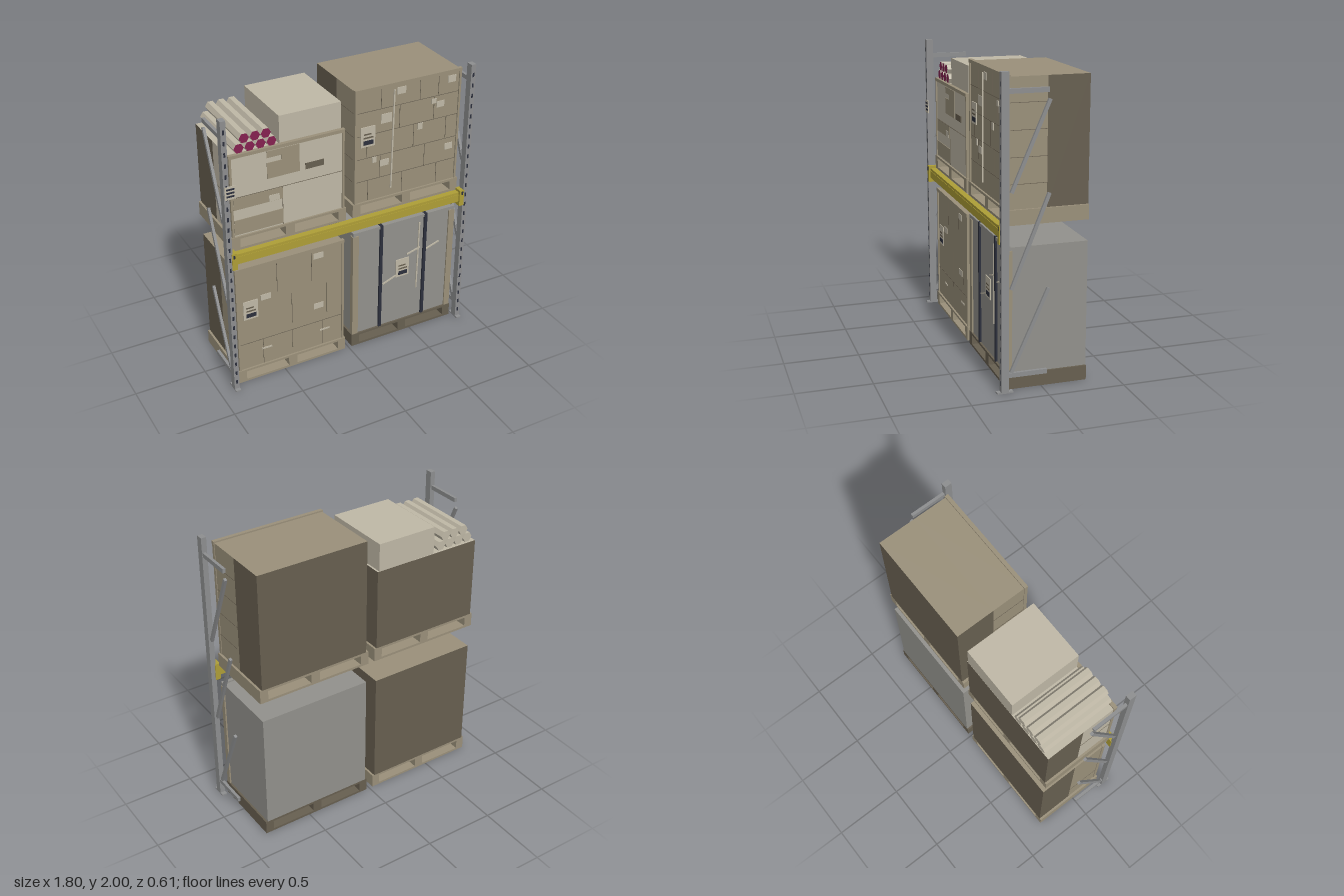
import * as THREE from 'three';

const mat = (name, color) => Object.assign(new THREE.MeshStandardMaterial({ color }), { name });

export function createModel() {
  const tan = mat('cardboard tan', 0x9a907a), dark = mat('dark brown', 0x675f50);
  const wrap = mat('wrap grey', 0x92918c), steel = mat('steel grey', 0x8d8e8f);
  const light = mat('pale card', 0xbfb8a6), yellow = mat('beam yellow', 0xae9e36);
  const maroon = mat('maroon', 0x852150), navy = mat('navy', 0x2c2f3c);
  const root = new THREE.Group();
  const BACK = -0.305, SPLIT = -0.035, FRONT = 0.215;

  // box given by its limits on each axis
  function box(parent, name, m, x0, x1, y0, y1, z0, z1) {
    const mesh = new THREE.Mesh(new THREE.BoxGeometry(x1 - x0, y1 - y0, z1 - z0), m);
    mesh.position.set((x0 + x1) / 2, (y0 + y1) / 2, (z0 + z1) / 2);
    mesh.name = name;
    parent.add(mesh);
    return mesh;
  }
  // thin plate on the front of a load
  const plate = (p, name, m, x0, x1, y0, y1, lift = 0.004) =>
    box(p, name, m, x0, x1, y0, y1, FRONT, FRONT + lift);
  // slanted strip of tape between two points on the front
  function tape(p, xa, ya, xb, yb) {
    const len = Math.hypot(xb - xa, yb - ya);
    const s = plate(p, 'tapeStrip', light, -len / 2, len / 2, -0.005, 0.005, 0.007);
    s.position.x = (xa + xb) / 2;
    s.position.y = (ya + yb) / 2;
    s.rotation.z = Math.atan2(yb - ya, xb - xa);
  }
  function group(name) {
    const g = new THREE.Group();
    g.name = name;
    root.add(g);
    return g;
  }
  // shipping label: pale sheet, printed bars
  function label(p, x, y) {
    plate(p, 'labelSheet', light, x, x + 0.105, y, y + 0.142, 0.006);
    plate(p, 'labelBlock', navy, x + 0.02, x + 0.09, y + 0.015, y + 0.045, 0.008);
    plate(p, 'labelLine', dark, x + 0.02, x + 0.09, y + 0.06, y + 0.07, 0.008);
    plate(p, 'labelLine', dark, x + 0.02, x + 0.075, y + 0.085, y + 0.095, 0.008);
  }

  // pallet with two fork openings right through
  function pallet(name, x, y, m) {
    const s = new THREE.Shape([[0, 0], [0.818, 0], [0.818, 0.096], [0, 0.096]].map(p => new THREE.Vector2(...p)));
    for (const a of [0.06, 0.442]) {
      s.holes.push(new THREE.Path([[a, 0.016], [a, 0.08], [a + 0.318, 0.08], [a + 0.318, 0.016]]
        .map(p => new THREE.Vector2(...p))));
    }
    const g = new THREE.ExtrudeGeometry(s, { depth: 0.228 - BACK, bevelEnabled: false });
    const mesh = new THREE.Mesh(g, m);
    mesh.position.set(x, y, BACK);
    mesh.name = name;
    root.add(mesh);
  }

  // stacked load: detailed front half, plain rear half, seams, corner trims, lip
  function load(name, x0, x1, y0, y1, face, rear, rows, joints, edge) {
    const g = group(name);
    box(g, 'frontCartons', face, x0, x1, y0, y1 - 0.01, SPLIT, FRONT);
    box(g, 'rearCartons', [rear, rear, face, rear, rear, rear], x0, x1, y0, y1 - 0.01, BACK, SPLIT);
    for (const y of rows) box(g, 'rowSeam', dark, x0 - 0.002, x1 + 0.002, y - 0.0015, y + 0.0015, SPLIT, FRONT + 0.002);
    for (const [x, ya, yb] of joints) plate(g, 'joint', dark, x - 0.0015, x + 0.0015, ya, yb, 0.002);
    for (const x of [x0 - 0.004, x1 - 0.011]) box(g, 'cornerTrim', edge, x, x + 0.015, y0, y1 - 0.02, 0.2, 0.224);
    box(g, 'topLip', edge, x0 - 0.006, x1 + 0.006, y1 - 0.022, y1, 0.2, 0.226);
    return g;
  }

  pallet('lowerLeftPallet', -0.845, 0, tan);
  pallet('lowerRightPallet', 0.025, 0, dark);
  pallet('upperLeftPallet', -0.845, 1.059, tan);
  pallet('upperRightPallet', 0.023, 1.059, tan);

  // lower carton stack
  const a = load('lowerCartonStack', -0.83, -0.042, 0.096, 0.907, tan, dark, [0.3], [
    [-0.535, 0.65, 0.87], [-0.28, 0.65, 0.87], [-0.43, 0.36, 0.6], [-0.165, 0.36, 0.6],
    [-0.65, 0.1, 0.3], [-0.43, 0.15, 0.3], [-0.2, 0.1, 0.3]], tan);
  for (const [x, y, h] of [[-0.265, 0.815, 0.043], [-0.657, 0.615, 0.043], [-0.265, 0.412, 0.043],
    [-0.66, 0.215, 0.012], [-0.22, 0.215, 0.012]]) plate(a, 'patch', light, x, x + 0.073, y, y + h);
  label(a, -0.785, 0.497);

  // grey wrapped load with straps
  const b = load('wrappedLoad', 0.038, 0.83, 0.096, 0.93, wrap, wrap, [], [], wrap);
  for (const x of [0.03, 0.795]) box(b, 'cornerBoard', tan, x, x + 0.045, 0.096, 0.9, 0.19, 0.225);
  for (const x of [0.241, 0.593]) {
    plate(b, 'strapFront', navy, x, x + 0.022, 0.096, 0.93, 0.013);
    box(b, 'strapTop', navy, x, x + 0.022, 0.92, 0.932, 0.19, 0.228);
  }
  label(b, 0.378, 0.468);
  tape(b, 0.55, 0.33, 0.558, 0.87);
  tape(b, 0.275, 0.445, 0.38, 0.485);
  tape(b, 0.465, 0.635, 0.57, 0.665);
  tape(b, 0.62, 0.635, 0.725, 0.67);

  // upper pale carton stack
  const c = load('paleCartonStack', -0.83, -0.042, 1.155, 1.73, light, dark, [1.43], [[-0.477, 1.155, 1.43]], tan);
  plate(c, 'tanPanel', tan, -0.815, -0.477, 1.345, 1.428);
  plate(c, 'tanPanel', tan, -0.815, -0.477, 1.165, 1.27);
  plate(c, 'tanPanel', tan, -0.58, -0.355, 1.655, 1.7);
  plate(c, 'tanPanel', tan, -0.58, -0.355, 1.51, 1.62);
  plate(c, 'tanPanel', tan, -0.48, -0.355, 1.62, 1.655);
  plate(c, 'darkPatch', dark, -0.315, -0.185, 1.51, 1.552);
  plate(c, 'patch', light, -0.573, -0.5, 1.347, 1.39, 0.006);
  box(c, 'looseCarton', light, -0.483, -0.053, 1.722, 1.912, BACK, 0.2);

  // hexagonal tubes with coloured front caps
  const tubes = group('tubes');
  const tubeGeo = new THREE.CylinderGeometry(0.035, 0.035, 0.515, 6).toNonIndexed();
  tubeGeo.rotateY(Math.PI / 6).rotateX(Math.PI / 2).rotateZ(Math.PI / 3);
  tubeGeo.rotateZ(Math.PI / 6 - Math.PI / 3 + Math.PI / 6);
  tubeGeo.computeVertexNormals();
  const capGeo = new THREE.CircleGeometry(0.034, 6);
  for (const [n, x0, y] of [[4, -0.76, 1.762], [3, -0.723, 1.824]]) {
    for (let i = 0; i < n; i++) {
      const t = new THREE.Mesh(tubeGeo, light), cap = new THREE.Mesh(capGeo, maroon);
      t.name = 'tube';
      cap.name = 'tubeCap';
      t.position.set(x0 + i * 0.073, y, -0.0475);
      cap.position.set(x0 + i * 0.073, y, 0.212);
      tubes.add(t, cap);
    }
  }

  // tall upper carton stack
  const d = load('tallCartonStack', 0.041, 0.826, 1.155, 1.97, tan, dark, [1.31, 1.475, 1.64, 1.805], [
    [0.23, 1.81, 1.95], [0.52, 1.81, 1.95], [0.66, 1.81, 1.95], [0.37, 1.64, 1.8], [0.63, 1.64, 1.8],
    [0.13, 1.48, 1.58], [0.48, 1.48, 1.64], [0.73, 1.48, 1.64], [0.23, 1.31, 1.47], [0.57, 1.31, 1.47],
    [0.14, 1.16, 1.31], [0.4, 1.16, 1.31], [0.67, 1.16, 1.31]], tan);
  for (const [x, y, w, h] of [[0.345, 1.88, 0.065, 0.048], [0.73, 1.88, 0.06, 0.048], [0.65, 1.72, 0.058, 0.043],
    [0.61, 1.755, 0.037, 0.035], [0.23, 1.7, 0.08, 0.065], [0.51, 1.592, 0.037, 0.046], [0.17, 1.43, 0.032, 0.043],
    [0.23, 1.39, 0.065, 0.046], [0.73, 1.39, 0.06, 0.046]]) plate(d, 'patch', light, x, x + w, y, y + h);
  label(d, 0.082, 1.56);
  tape(d, 0.315, 1.21, 0.325, 1.92);

  // rack uprights with slots, feet and side bracing
  for (const s of [-1, 1]) {
    const u = group(s < 0 ? 'rightUpright' : 'leftUpright');
    const X = s * 0.882;
    box(u, 'post', steel, X - 0.018, X + 0.018, 0, 2, 0.23, 0.28);
    box(u, 'footPlate', steel, X - 0.018, X + 0.018, 0, 0.01, 0.2, 0.305);
    for (let y = 0.05; y < 1.98; y += 0.0745) box(u, 'slot', navy, X - 0.006, X + 0.006, y, y + 0.03, 0.279, 0.281);
    for (const y of [0.115, 1.885]) box(u, 'horizontalBrace', steel, s * 0.886 - 0.01, s * 0.886 + 0.01, y - 0.015, y + 0.015, -0.02, 0.24);
    for (const [ya, yb] of [[0.13, 0.66], [0.67, 1.26], [1.275, 1.83]]) {
      const len = Math.hypot(yb - ya, 0.24);
      const br = box(u, 'diagonalBrace', steel, s * 0.886 - 0.009, s * 0.886 + 0.009, -len / 2, len / 2, -0.011, 0.011);
      br.position.y = (ya + yb) / 2;
      br.position.z = 0.092;
      br.rotation.x = -Math.atan2(0.24, yb - ya);
    }
  }

  // front beam with rolled edges and end connectors
  const beam = group('beam');
  box(beam, 'beamBody', yellow, -0.865, 0.865, 0.985, 1.058, 0.228, 0.27);
  box(beam, 'beamRib', yellow, -0.845, 0.845, 0.99, 1.04, 0.27, 0.273);
  for (const s of [-1, 1]) {
    box(beam, 'connector', yellow, s * 0.852 - 0.018, s * 0.852 + 0.018, 0.955, 1.075, 0.225, 0.284);
    box(beam, 'connectorPin', navy, s * 0.855 - 0.006, s * 0.855 + 0.006, 1.04, 1.065, 0.284, 0.286);
  }

  // location sign on the post
  const sign = group('locationSign');
  box(sign, 'signPlate', light, -0.895, -0.822, 1.472, 1.562, 0.28, 0.285);
  for (const y of [1.488, 1.512, 1.536]) box(sign, 'signBar', navy, -0.885, -0.832, y, y + 0.012, 0.285, 0.287);
  return root;
}
